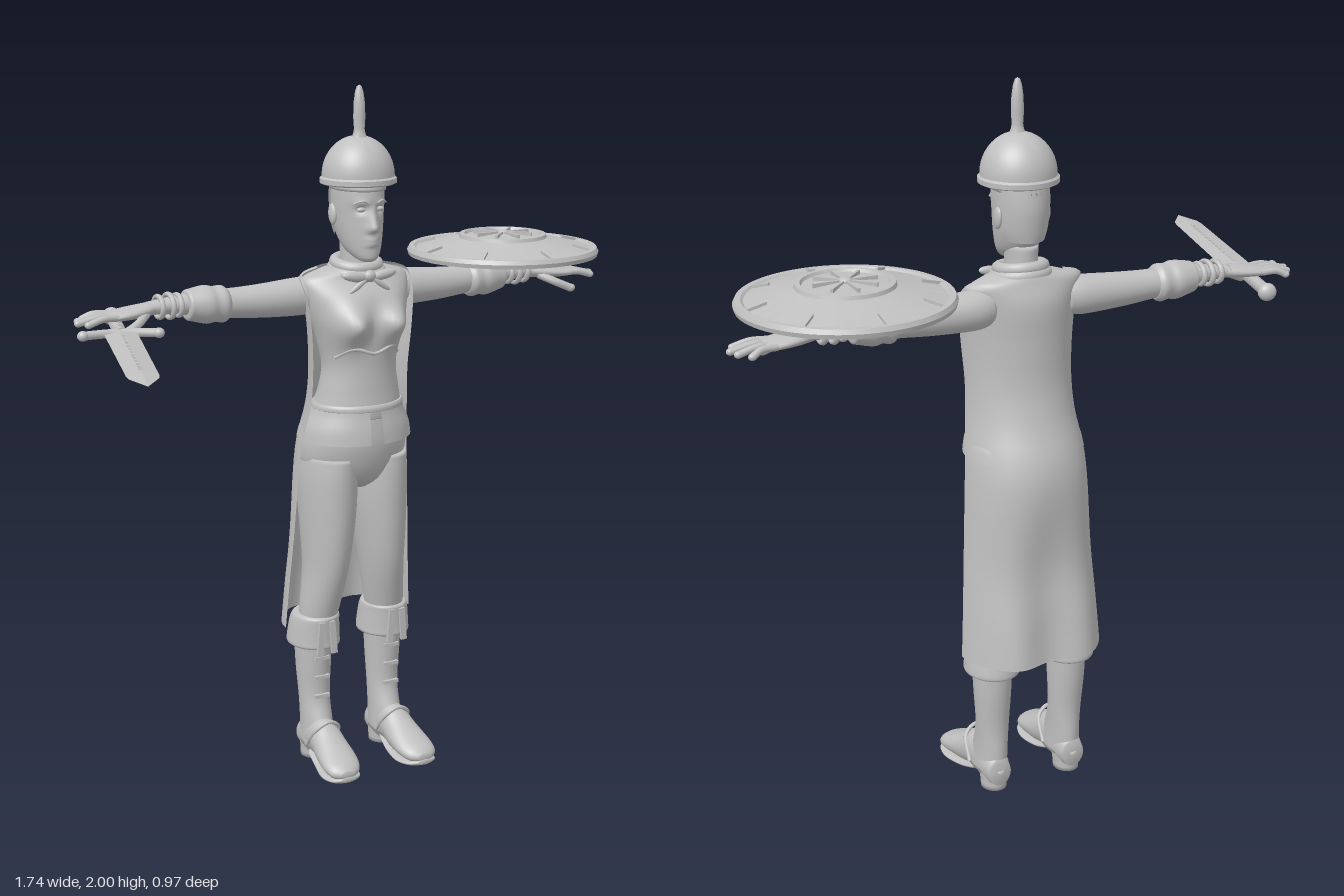
import * as THREE from 'three';
import { toCreasedNormals } from 'three/addons/utils/BufferGeometryUtils.js';

const grey = new THREE.MeshStandardMaterial({ color: 0xc0c0c0, side: THREE.DoubleSide });
grey.name = 'plain grey';

const spline = (a, b, c, d, t) =>
  0.5 * (2 * b + (c - a) * t + (2 * a - 5 * b + 4 * c - d) * t * t + (3 * b - a - 3 * c + d) * t * t * t);

// Loft of elliptical sections along an axis. Row: [along, centreA, halfA, minB, maxB]
// Axis y: A = x, B = z.  Axis x: A = z, B = y.  Axis z: A = y, B = x.
function loft(rows, { axis = 'y', n = 32, k = 4, arc = null, cap = true, bend = null } = {}) {
  const fine = [];
  for (let i = 0; i < rows.length - 1; i++)
    for (let s = 0; s < k; s++)
      fine.push(rows[i].map((v, c) =>
        spline(rows[Math.max(0, i - 1)][c], v, rows[i + 1][c], rows[Math.min(rows.length - 1, i + 2)][c], s / k)));
  fine.push(rows[rows.length - 1]);
  const pos = [], idx = [], m = arc ? n + 1 : n;
  const [from, to] = arc || [0, Math.PI * 2];
  const put = (t, a, b) => {
    const p = axis === 'y' ? [a, t, b] : axis === 'x' ? [t, b, a] : [b, a, t];
    if (bend) bend(p);
    pos.push(...p);
  };
  for (const [t, a, ra, b0, b1] of fine)
    for (let j = 0; j < m; j++) {
      const q = from + (to - from) * j / n;
      put(t, a + ra * Math.cos(q), (b0 + b1) / 2 + (b1 - b0) / 2 * Math.sin(q));
    }
  for (let i = 0; i < fine.length - 1; i++)
    for (let j = 0; j < n; j++) {
      const a = i * m + j, b = i * m + (j + 1) % m;
      idx.push(a, a + m, b, b, a + m, b + m);
    }
  if (cap && !arc) {
    const ends = [fine[0], fine[fine.length - 1]];
    const first = pos.length / 3, base = (fine.length - 1) * m;
    ends.forEach(([t, a, , b0, b1]) => put(t, a, (b0 + b1) / 2));
    for (let j = 0; j < n; j++) {
      idx.push(first, j, (j + 1) % n);
      idx.push(first + 1, base + (j + 1) % n, base + j);
    }
  }
  const g = new THREE.BufferGeometry();
  g.setAttribute('position', new THREE.Float32BufferAttribute(pos, 3));
  g.setIndex(idx);
  g.computeVertexNormals();
  return g;
}

function add(group, name, geo, x = 0, y = 0, z = 0) {
  const mesh = new THREE.Mesh(geo, grey);
  mesh.name = name;
  mesh.position.set(x, y, z);
  group.add(mesh);
  return mesh;
}

// Adds a left part and its reflected right twin
function pair(group, name, geo) {
  const other = (geo.index ? geo.toNonIndexed() : geo.clone()).scale(-1, 1, 1);
  for (const at of [other.attributes.position, other.attributes.normal])
    for (let i = 0; i < at.count; i += 3)
      for (const get of ['getX', 'getY', 'getZ']) {
        const set = get.replace('g', 's'), v = at[get](i + 1);
        at[set](i + 1, at[get](i + 2));
        at[set](i + 2, v);
      }
  add(group, name + 'Left', geo);
  add(group, name + 'Right', other);
}

const lathe = (pts, n = 48) => toCreasedNormals(new THREE.LatheGeometry(pts.map(p => new THREE.Vector2(...p)), n), 0.6);
const ball = (rx, ry, rz) => new THREE.SphereGeometry(1, 24, 16).scale(rx, ry, rz);
const tube = (pts, r, n = 16) => new THREE.TubeGeometry(
  new THREE.CatmullRomCurve3(pts.map(p => new THREE.Vector3(...p))), n, r, 10);
const hump = (d, w) => Math.exp(-(d * d) / (w * w));

function buildHead(g) {
  add(g, 'neck', loft([[1.43, 0, .055, -.24, -.12], [1.5, 0, .043, -.235, -.125], [1.57, 0, .043, -.235, -.125]]));
  // Nose, lips and eye sockets are raised or sunk from the skull
  const face = p => {
    if (p[2] < -.13) return;
    const [x, y] = p, nose = y < 1.613 ? hump(y - 1.613, .011) : Math.max(0, 1 - (y - 1.613) / .065);
    p[2] += .024 * hump(x, .011 + .004 * nose) * nose;
    p[2] += .007 * hump(x, .02) * (hump(y - 1.583, .006) + hump(y - 1.569, .006));
    p[2] -= .011 * hump(Math.abs(x) - .029, .014) * hump(y - 1.665, .011);
    p[2] += .004 * hump(Math.abs(x) - .03, .022) * hump(y - 1.685, .007);
  };
  add(g, 'head', loft([[1.518, 0, .015, -.125, -.092], [1.528, 0, .032, -.16, -.08], [1.555, 0, .05, -.215, -.078],
    [1.6, 0, .062, -.25, -.078], [1.65, 0, .068, -.26, -.08], [1.7, 0, .07, -.262, -.077], [1.76, 0, .068, -.255, -.085]],
  { n: 72, k: 7, bend: face }));
  pair(g, 'eye', ball(.013, .007, .008).translate(.029, 1.665, -.093));
  pair(g, 'eyebrow', tube([[.012, 1.683, -.078], [.03, 1.69, -.08], [.05, 1.682, -.097]], .003));
  pair(g, 'ear', ball(.009, .03, .019).rotateX(-.15).translate(.071, 1.645, -.185));
  // Short hair round the back and temples
  add(g, 'hair', loft([[1.585, 0, .06, -.255, -.085], [1.62, 0, .069, -.262, -.085], [1.68, 0, .073, -.268, -.085],
    [1.75, 0, .073, -.262, -.085]], { arc: [Math.PI * 1.1, Math.PI * 1.9] }));
  add(g, 'fringe', loft([[1.715, 0, .073, -.266, -.071], [1.75, 0, .073, -.262, -.076]]));
  // Helmet with rim and tall spike
  const dome = [[0, 1.725], [.1, 1.728], [.108, 1.732], [.108, 1.745], [.102, 1.75]];
  for (let i = 0; i <= 12; i++) {
    const a = i / 12 * Math.PI / 2;
    dome.push([.102 * Math.cos(a), 1.752 + .11 * Math.sin(a)]);
  }
  add(g, 'helmet', lathe(dome), 0, 0, -.165);
  add(g, 'helmetSpike', lathe([[.024, 1.85], [.017, 1.868], [.015, 1.88], [.017, 1.91], [.016, 1.95], [.012, 1.98],
    [.007, 1.995], [0, 2]], 20), 0, 0, -.158);
}

function buildBody(g) {
  const bust = p => {
    if (p[2] > -.15) p[2] += .055 * hump(Math.abs(p[0]) - .068, .042) * hump(p[1] - 1.345, .05);
  };
  add(g, 'jacket', loft([[1.07, 0, .138, -.3, -.07], [1.1, 0, .132, -.29, -.068], [1.15, 0, .12, -.265, -.072],
    [1.22, 0, .111, -.255, -.074], [1.3, 0, .128, -.265, -.07], [1.36, 0, .146, -.275, -.07], [1.42, 0, .16, -.28, -.085],
    [1.465, 0, .163, -.265, -.12], [1.485, 0, .12, -.258, -.125], [1.5, 0, .06, -.245, -.13]], { n: 64, k: 6, bend: bust }));
  // Flared jacket skirt, split at the front
  add(g, 'jacketSkirt', loft([[1.0, 0, .17, -.345, -.048], [1.04, 0, .162, -.33, -.052], [1.08, 0, .142, -.3, -.06],
    [1.11, 0, .133, -.288, -.064]], { n: 48, arc: [Math.PI * .54, Math.PI * 2.46] }));
  add(g, 'waistBand', loft([[1.094, 0, .137, -.295, -.06], [1.104, 0, .136, -.292, -.06], [1.112, 0, .132, -.288, -.064]]));
  add(g, 'bodiceSeam', tube([[-.1, 1.25, -.12], [-.06, 1.278, -.077], [0, 1.262, -.067], [.06, 1.278, -.077],
    [.1, 1.25, -.12]], .005, 32));
  add(g, 'pelvis', loft([[.85, 0, .06, -.28, -.15], [.88, 0, .12, -.325, -.11], [.93, 0, .157, -.342, -.085],
    [1.0, 0, .158, -.33, -.07], [1.08, 0, .135, -.29, -.075]]));
  // Scarf round the neck with a tied bow
  for (const [y, r] of [[1.485, .068], [1.505, .06]])
    add(g, 'scarf', new THREE.TorusGeometry(r, .017, 10, 36).rotateX(Math.PI / 2 + .15), 0, y, -.178);
  add(g, 'scarfKnot', ball(.018, .016, .014), 0, 1.478, -.098);
  pair(g, 'scarfBow', ball(.04, .014, .012).rotateZ(.15).translate(.045, 1.478, -.1));
  pair(g, 'scarfTail', ball(.034, .008, .006).rotateZ(-.6).translate(.035, 1.453, -.096));
  // Long cape, deeper folds toward the hem
  const cape = [[.425, .208, -.235, -.392], [.55, .2, -.225, -.375], [.7, .19, -.21, -.355], [.9, .178, -.195, -.365],
    [1.0, .17, -.185, -.352], [1.1, .157, -.16, -.315], [1.2, .153, -.15, -.292], [1.32, .16, -.14, -.288],
    [1.42, .169, -.15, -.288], [1.475, .169, -.19, -.27], [1.495, .11, -.2, -.262]]
    .map(([y, rx, edge, back]) => [y, 0, rx, back, 2 * edge - back]);
  const folds = p => {
    const low = THREE.MathUtils.clamp((1 - p[1]) / .5, 0, 1);
    p[2] += low * .022 * Math.cos(p[0] * 24) * hump(p[0], .2);
  };
  add(g, 'cape', loft(cape, { n: 48, arc: [Math.PI, Math.PI * 2], bend: folds }));
}

function buildLegs(g) {
  pair(g, 'trouserLeg', loft([[.4, .116, .05, -.285, -.17], [.48, .108, .058, -.278, -.148], [.6, .093, .062, -.29, -.115],
    [.7, .087, .07, -.305, -.1], [.8, .083, .078, -.322, -.092], [.89, .082, .08, -.335, -.088], [.95, .08, .076, -.33, -.09]]));
  pair(g, 'boot', loft([[.05, .117, .046, -.288, -.13], [.12, .116, .044, -.288, -.155], [.2, .116, .046, -.286, -.183],
    [.3, .117, .052, -.295, -.18], [.4, .117, .056, -.3, -.172]]));
  // Turned-down cuff with folded lower lip
  pair(g, 'bootCuff', loft([[.365, .117, .062, -.306, -.163], [.37, .117, .076, -.322, -.148], [.39, .117, .076, -.322, -.148],
    [.44, .116, .071, -.312, -.146], [.462, .114, .066, -.3, -.145], [.466, .113, .055, -.286, -.16]], { k: 3 }));
  for (const dx of [-.02, .02])
    pair(g, 'cuffFlap', new THREE.BoxGeometry(.018, .1, .01).rotateZ(dx * 4).translate(.117 + dx, .405, -.145));
  for (const y of [.21, .27, .33])
    pair(g, 'bootStrap', new THREE.BoxGeometry(.048, .01, .012).translate(.117, y, -.181));
  pair(g, 'foot', loft([[-.29, .06, .04, .085, .15], [-.24, .07, .06, .075, .16], [-.17, .082, .062, .073, .164],
    [-.11, .062, .05, .068, .174], [-.05, .046, .033, .068, .182], [-.01, .036, .024, .082, .175],
    [.01, .033, .01, .108, .15]], { axis: 'z' }));
  pair(g, 'sole', loft([[-.19, .038, .01, .082, .162], [-.13, .018, .012, .072, .17], [-.06, .011, .011, .066, .183],
    [-.01, .014, .011, .08, .175], [.012, .019, .008, .108, .15]], { axis: 'z' }));
  pair(g, 'heel', loft([[0, .117, .036, -.285, -.205], [.03, .117, .037, -.287, -.2], [.065, .117, .041, -.292, -.19]], { k: 2 }));
  pair(g, 'instepSeam', tube([[.072, .06, -.19], [.082, .12, -.145], [.117, .142, -.135], [.155, .12, -.145],
    [.166, .06, -.19]], .006, 24));
}

function buildArms(g) {
  pair(g, 'upperArm', loft([[.11, -.212, .045, 1.37, 1.468], [.16, -.215, .052, 1.362, 1.47], [.28, -.216, .046, 1.366, 1.461],
    [.37, -.218, .041, 1.374, 1.457], [.43, -.22, .04, 1.378, 1.458]], { axis: 'x' }));
  pair(g, 'sleeveCuff', loft([[.385, -.218, .041, 1.374, 1.457], [.4, -.218, .052, 1.364, 1.468], [.425, -.218, .05, 1.368, 1.467],
    [.45, -.219, .055, 1.365, 1.472], [.49, -.22, .048, 1.375, 1.466], [.505, -.22, .044, 1.38, 1.462],
    [.508, -.22, .03, 1.395, 1.45]], { axis: 'x' }));
  pair(g, 'forearm', loft([[.48, -.22, .034, 1.39, 1.456], [.54, -.22, .028, 1.4, 1.45], [.6, -.22, .026, 1.404, 1.443],
    [.62, -.22, .03, 1.404, 1.44]], { axis: 'x' }));
  for (const [x, r] of [[.53, .034], [.555, .038], [.585, .034]])
    pair(g, 'bracelet', new THREE.TorusGeometry(r, .008, 8, 24).rotateY(Math.PI / 2).scale(1, .85, 1).translate(x, 1.424, -.22));
  pair(g, 'palm', loft([[.6, -.22, .024, 1.405, 1.441], [.64, -.219, .038, 1.4, 1.437], [.69, -.219, .046, 1.398, 1.43],
    [.73, -.22, .043, 1.398, 1.423], [.74, -.22, .036, 1.402, 1.419]], { axis: 'x' }));
  [[-.256, -.272, .785], [-.233, -.24, .81], [-.209, -.209, .82], [-.185, -.176, .803]].forEach(([z0, z1, end]) => {
    pair(g, 'finger', tube([[.715, 1.412, z0], [.76, 1.413, (z0 + z1) / 2], [end, 1.402, z1]], .0095));
    pair(g, 'fingertip', ball(.011, .0095, .0095).translate(end, 1.402, z1));
  });
  pair(g, 'thumb', tube([[.63, 1.412, -.198], [.67, 1.392, -.165], [.715, 1.372, -.152]], .012));
  pair(g, 'thumbTip', ball(.015, .012, .012).translate(.716, 1.372, -.152));
}

function buildSword() {
  const g = new THREE.Group();
  g.name = 'sword';
  const blade = loft([[0, 0, .007, -.044, .044], [.5, 0, .006, -.04, .04], [.535, 0, .005, -.036, .036],
    [.614, 0, .001, -.001, .001]], { axis: 'z', n: 4, k: 1 });
  add(g, 'blade', toCreasedNormals(blade, .02));
  for (let i = 0; i < 24; i++) add(g, 'bladeGroove', new THREE.BoxGeometry(.007, .016, .011), 0, 0, .06 + i * .0175);
  add(g, 'guard', tube([[-.1, 0, .016], [-.05, 0, .002], [0, 0, -.004], [.05, 0, .002], [.1, 0, .016]], .012, 24));
  for (const x of [-.1, .1]) add(g, 'guardTip', ball(.015, .014, .015), x, 0, .017);
  add(g, 'grip', new THREE.CylinderGeometry(.014, .016, .22, 16).rotateX(Math.PI / 2), 0, 0, -.11);
  for (let i = 0; i < 8; i++) add(g, 'gripRing', new THREE.TorusGeometry(.015, .003, 6, 16), 0, 0, -.03 - i * .022);
  add(g, 'pommel', ball(.026, .025, .02), 0, 0, -.232);
  g.position.set(-.694, 1.385, -.12);
  g.rotation.y = -.268;
  return g;
}

function buildShield() {
  const g = new THREE.Group();
  g.name = 'shield';
  add(g, 'shieldBody', lathe([[0, .042], [.13, .034], [.255, .004], [.262, -.004], [.28, -.004], [.283, .008], [.277, .02],
    [.262, .02], [.256, .015], [.13, .046], [.127, .056], [.114, .057], [.11, .049], [.03, .056], [0, .057]], 72));
  add(g, 'shieldBoss', ball(.018, .01, .018), 0, .058, 0);
  // Eight rays in the middle and eight studs near the rim
  for (let i = 0; i < 8; i++) {
    const a = i * Math.PI / 4;
    add(g, 'ray', new THREE.BoxGeometry(.075, .012, .008).translate(.05, .056, 0).rotateY(a));
    add(g, 'rimBar', new THREE.BoxGeometry(.06, .012, .007).rotateZ(-.24).translate(.238, .021, 0).rotateY(a));
  }
  add(g, 'handle', new THREE.BoxGeometry(.12, .01, .035), 0, -.02, 0);
  for (const x of [-.055, .055]) add(g, 'handlePost', new THREE.BoxGeometry(.012, .06, .03), x, .008, 0);
  g.position.set(.556, 1.487, -.218);
  return g;
}

export function createModel() {
  const model = new THREE.Group();
  model.name = 'warrior';
  const figure = new THREE.Group();
  figure.name = 'figure';
  figure.position.x = .042;
  for (const build of [buildHead, buildBody, buildLegs, buildArms]) build(figure);
  model.add(figure, buildSword(), buildShield());
  return model;
}
